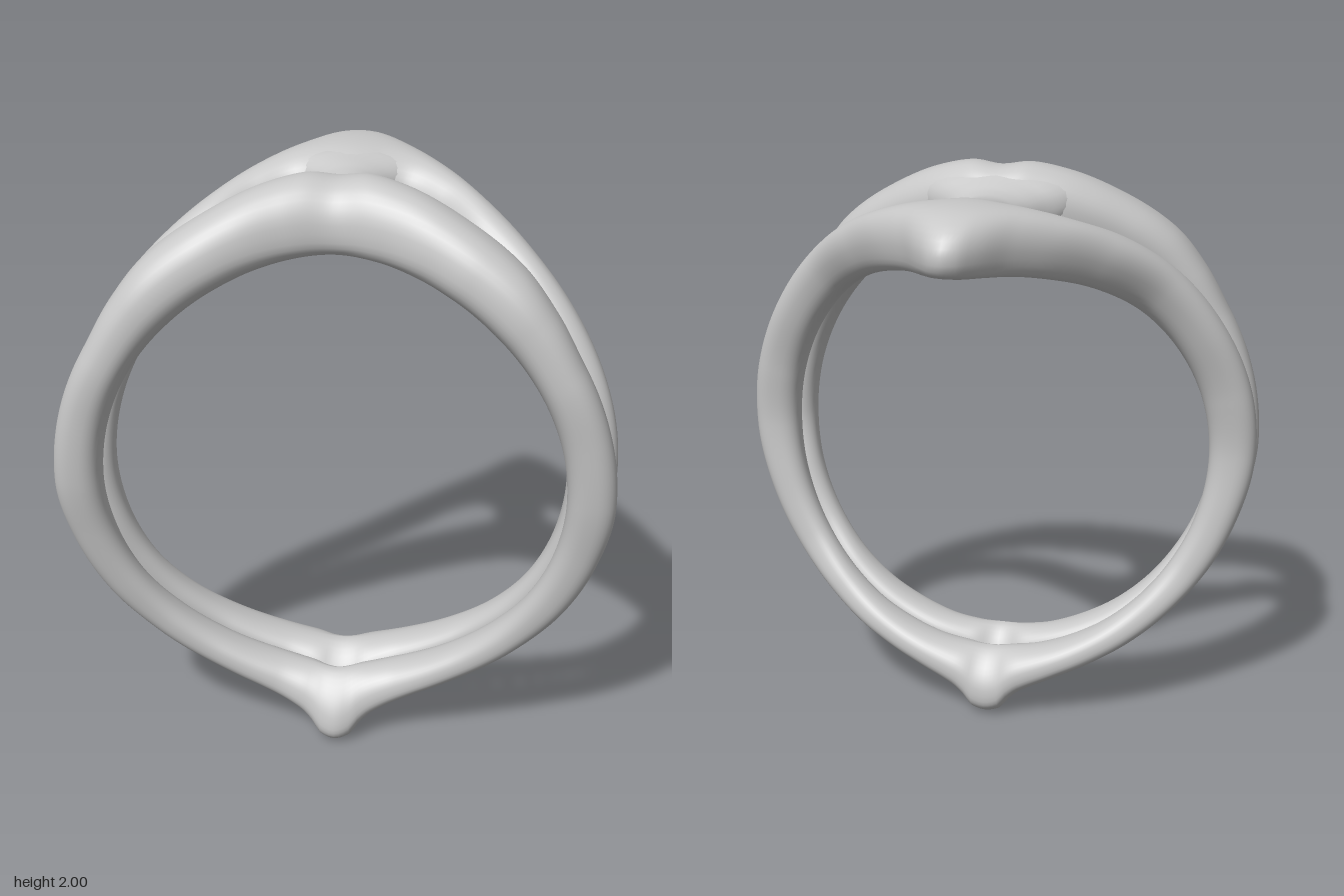
import * as THREE from 'three';

// Smooth interpolation of [t, a, b, ...] rows, flat at both ends
function sample(rows, t) {
  let i = 0;
  while (i < rows.length - 2 && t > rows[i + 1][0]) i++;
  const p = rows[i], q = rows[i + 1], h = q[0] - p[0], s = (t - p[0]) / h;
  const slope = (k, c) => {
    if (k === 0 || k === rows.length - 1) return 0;
    const [a, b, d] = [rows[k - 1], rows[k], rows[k + 1]];
    const l = (b[c] - a[c]) / (b[0] - a[0]), r = (d[c] - b[c]) / (d[0] - b[0]);
    return l * r <= 0 ? 0 : (2 * l * r) / (l + r); // no overshoot
  };
  return p.slice(1).map((v, k) => {
    const c = k + 1, s2 = s * s, s3 = s2 * s;
    return v * (2 * s3 - 3 * s2 + 1) + q[c] * (3 * s2 - 2 * s3)
      + h * (slope(i, c) * (s3 - 2 * s2 + s) + slope(i + 1, c) * (s3 - s2));
  });
}

// Skin of closed cross-sections; the path may also close on itself
function loft(rows, cols, closed, point) {
  const pos = [], index = [];
  for (let i = 0; i < rows; i++)
    for (let j = 0; j < cols; j++) pos.push(...point(i, (j / cols) * Math.PI * 2));
  for (let i = 0; i < (closed ? rows : rows - 1); i++)
    for (let j = 0; j < cols; j++) {
      const n = ((i + 1) % rows) * cols, m = i * cols, k = (j + 1) % cols;
      index.push(m + j, n + j, n + k, m + j, n + k, m + k);
    }
  const g = new THREE.BufferGeometry();
  g.setAttribute('position', new THREE.Float32BufferAttribute(pos, 3));
  g.setIndex(index);
  g.computeVertexNormals();
  return g;
}

const soft = (v, e) => Math.sign(v) * Math.abs(v) ** e;

// Band around (0, 1): z edges and outer radius by degrees from the top
function band(edges, outer, shape) {
  const N = 360;
  return loft(N, 36, true, (i, a) => {
    const deg = (i / N) * 360, t = Math.min(deg, 360 - deg), th = THREE.MathUtils.degToRad(deg);
    const [zb, zf] = sample(edges, t), [ro] = sample(outer, t), [q, lean] = sample(shape, t);
    const u = soft(Math.cos(a), 0.85), v = soft(Math.sin(a), 0.85);
    const r = 0.757 + (ro - 0.757) * ((1 + v) / 2) ** q;
    return [r * Math.sin(th), 1 + r * Math.cos(th), (zf + zb) / 2 + ((zf - zb) / 2) * u + lean * v];
  });
}

// Lower half of both bands flares into a small foot
const footRadius = [[105, 0.9], [120, 0.885], [135, 0.872], [150, 0.868], [160, 0.875],
  [167, 0.892], [172, 0.916], [175, 0.95], [177.2, 0.99], [180, 1]];

export function createModel() {
  const model = new THREE.Group();
  const metal = new THREE.MeshStandardMaterial({ color: 0xc8c8c8 });
  metal.name = 'grey metal';
  const add = (name, geometry) => {
    const mesh = new THREE.Mesh(geometry, metal);
    mesh.name = name;
    model.add(mesh);
  };

  add('frontBand', band(
    [[0, 0.13, 0.4], [10, 0.17, 0.43], [20, 0.22, 0.48], [30, 0.27, 0.525], [45, 0.335, 0.56],
      [60, 0.375, 0.565], [75, 0.39, 0.55], [90, 0.39, 0.53], [105, 0.365, 0.49], [120, 0.335, 0.45],
      [135, 0.28, 0.412], [150, 0.24, 0.39], [165, 0.22, 0.385], [173, 0.225, 0.405], [180, 0.235, 0.445]],
    [[0, 0.99], [6, 1.005], [13, 0.998], [25, 0.978], [38, 0.965], [48, 0.94], [60, 0.917],
      [75, 0.915], [90, 0.915], ...footRadius],
    [[0, 1.5, 0], [25, 1.1, 0], [60, 1, 0], [150, 1, 0], [172, 0.8, 0.01], [180, 0.6, 0.015]]));

  add('backBand', band(
    [[0, -0.565, 0], [3, -0.55, -0.02], [6, -0.505, -0.06], [12, -0.385, -0.1], [20, -0.265, -0.05],
      [30, -0.125, 0.08], [45, 0.045, 0.21], [60, 0.125, 0.28], [75, 0.18, 0.32], [90, 0.205, 0.335],
      [105, 0.195, 0.32], [120, 0.175, 0.285], [135, 0.12, 0.245], [150, 0.06, 0.21], [165, 0.02, 0.2],
      [180, 0, 0.235]],
    [[0, 0.97], [10, 0.965], [20, 0.955], [45, 0.937], [60, 0.93], [75, 0.928], [90, 0.92], ...footRadius],
    [[0, 1.7, -0.02], [12, 1.5, 0], [30, 1.15, 0], [60, 1, 0], [150, 1, 0], [172, 0.8, 0], [180, 0.6, 0]]));

  // Bridge joining the bands at the top: half width, bottom and top along its length
  const bridge = [[-0.32, 0.2, 1.78, 1.97], [-0.25, 0.23, 1.77, 1.96], [-0.18, 0.23, 1.765, 1.955],
    [-0.13, 0.18, 1.765, 1.947], [-0.09, 0.135, 1.762, 1.94], [-0.04, 0.107, 1.76, 1.93],
    [0.04, 0.1, 1.76, 1.922], [0.1, 0.125, 1.76, 1.93], [0.15, 0.17, 1.76, 1.95],
    [0.2, 0.24, 1.762, 1.972], [0.25, 0.28, 1.77, 1.985], [0.29, 0.1, 1.82, 1.93]];
  const mirrored = bridge.map(r => [...r]);
  mirrored[0] = [-0.32, 0.08, 1.82, 1.9];
  add('topBridge', loft(49, 32, false, (i, a) => {
    const z = 0.29 - (i / 48) * 0.61, [w, lo, hi] = sample(mirrored, z);
    return [w * Math.cos(a), (lo + hi) / 2 + ((hi - lo) / 2) * soft(Math.sin(a), 0.9), z];
  }));

  return model;
}
